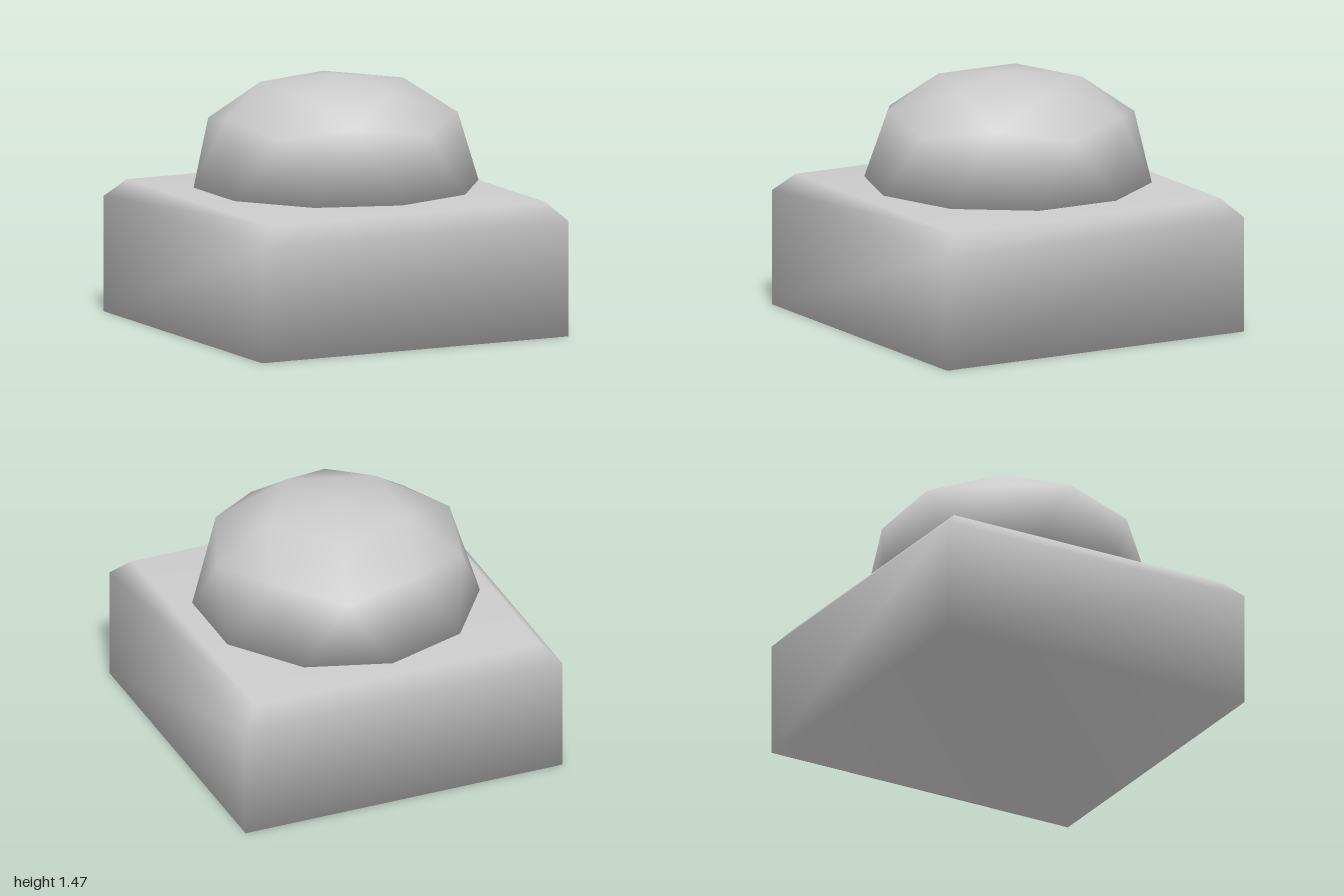
import * as THREE from 'three';

// Smooth-shaded solid with shared vertices
function solid(name, points, faces) {
  const g = new THREE.BufferGeometry();
  g.setAttribute('position', new THREE.Float32BufferAttribute(points.flat(), 3));
  g.setIndex(faces.flat());
  g.computeVertexNormals();
  const mesh = new THREE.Mesh(g, new THREE.MeshStandardMaterial({ color: 0xcccccc }));
  mesh.name = name;
  return mesh;
}

const polar = (r, y, deg) => {
  const a = THREE.MathUtils.degToRad(deg);
  return [r * Math.cos(a), y, r * Math.sin(a)];
};

// Square block with a chamfered top edge
function makeBase() {
  const points = [], faces = [];
  for (const [h, y] of [[1, 0], [1, 0.68], [0.9, 0.785]])
    points.push([h, y, h], [-h, y, h], [-h, y, -h], [h, y, -h]);
  for (let i = 0; i < 2; i++) {
    for (let j = 0; j < 4; j++) {
      const a = i * 4 + j, a1 = i * 4 + (j + 1) % 4;
      faces.push([a + 4, a1, a], [a + 4, a1 + 4, a1]);
    }
  }
  faces.push([0, 1, 2], [0, 2, 3], [8, 10, 9], [8, 11, 10]);
  return solid('base', points, faces);
}

// Flattened half icosphere, closed underneath
function makeDome() {
  const points = [[0, 1.47, 0], [0, 0.825, 0]], faces = [];
  for (let k = 0; k < 5; k++) points.push(polar(0.44, 1.415, 72 * k));
  for (let j = 0; j < 10; j++)
    points.push(j % 2 ? polar(0.715, 1.265, 36 * j) : polar(0.75, 1.195, 36 * j));
  for (let j = 0; j < 10; j++) points.push(polar(0.838, 0.825, 18 + 36 * j));
  const top = k => 2 + k % 5, mid = j => 7 + j % 10, rim = j => 17 + j % 10;
  for (let k = 0; k < 5; k++) {
    faces.push(
      [0, top(k + 1), top(k)],
      [top(k), mid(2 * k + 1), mid(2 * k)],
      [top(k), top(k + 1), mid(2 * k + 1)],
      [top(k + 1), mid(2 * k + 2), mid(2 * k + 1)]);
  }
  for (let j = 0; j < 10; j++) {
    faces.push(
      [mid(j), mid(j + 1), rim(j)],
      [mid(j), rim(j), rim(j + 9)],
      [1, rim(j), rim(j + 1)]);
  }
  return solid('buttonDome', points, faces);
}

export function createModel() {
  const model = new THREE.Group();
  model.name = 'pushButton';
  model.add(makeBase(), makeDome());

  // Short tapered neck between block and dome
  const neck = new THREE.Mesh(
    new THREE.CylinderGeometry(0.215, 0.305, 0.04, 20, 1, true),
    new THREE.MeshStandardMaterial({ color: 0xcccccc, side: THREE.DoubleSide }));
  neck.name = 'neck';
  neck.position.y = 0.805;
  model.add(neck);
  return model;
}
